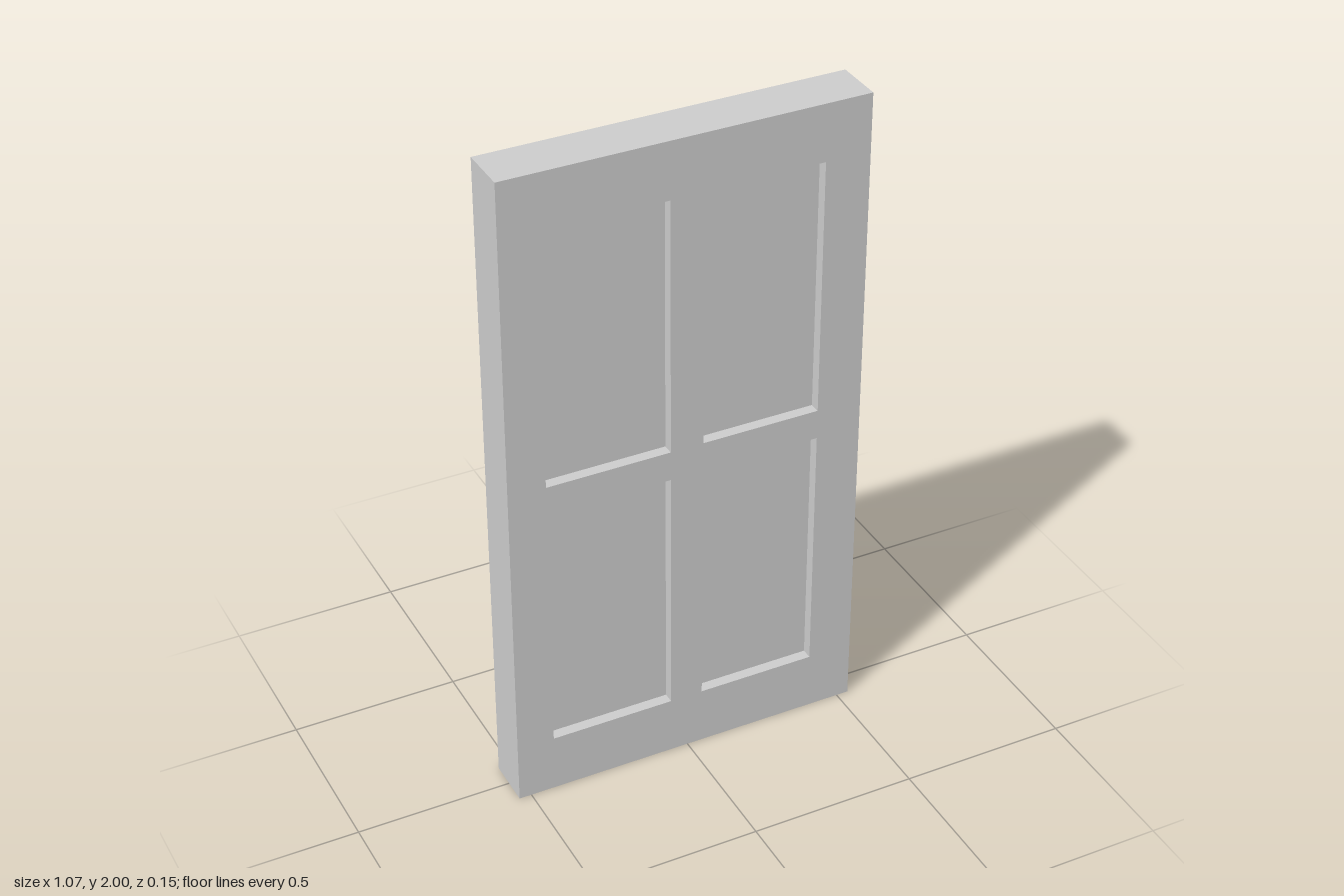
import * as THREE from 'three';

const WIDTH = 1.074, HEIGHT = 2, DEPTH = 0.148, PANEL_DEPTH = 0.082;
const COLUMNS = [[-0.425, -0.053], [0.046, 0.402]];
const ROWS = [[0.18, 0.957], [1.048, 1.828]];

// Traces a rectangle onto a Shape or Path
function rectangle(path, x0, x1, y0, y1) {
  path.moveTo(x0, y0);
  path.lineTo(x1, y0);
  path.lineTo(x1, y1);
  path.lineTo(x0, y1);
  path.closePath();
  return path;
}

export function createModel() {
  const door = new THREE.Group();
  door.name = 'door';
  const material = new THREE.MeshStandardMaterial({ color: 0xcccccc });
  const outline = rectangle(new THREE.Shape(), -WIDTH / 2, WIDTH / 2, 0, HEIGHT);

  // Thin panels, recessed on both faces and filling the frame openings
  ROWS.forEach(([y0, y1], row) => COLUMNS.forEach(([x0, x1], column) => {
    outline.holes.push(rectangle(new THREE.Path(), x0, x1, y0, y1));
    const panel = new THREE.Mesh(new THREE.BoxGeometry(x1 - x0, y1 - y0, PANEL_DEPTH), material);
    panel.name = `${row ? 'upper' : 'lower'}${column ? 'Left' : 'Right'}Panel`;
    panel.position.set((x0 + x1) / 2, (y0 + y1) / 2, 0);
    door.add(panel);
  }));

  // Frame of stiles and rails
  const geometry = new THREE.ExtrudeGeometry(outline, { depth: DEPTH, bevelEnabled: false });
  geometry.translate(0, 0, -DEPTH / 2);
  const frame = new THREE.Mesh(geometry, material);
  frame.name = 'frame';
  door.add(frame);

  return door;
}
